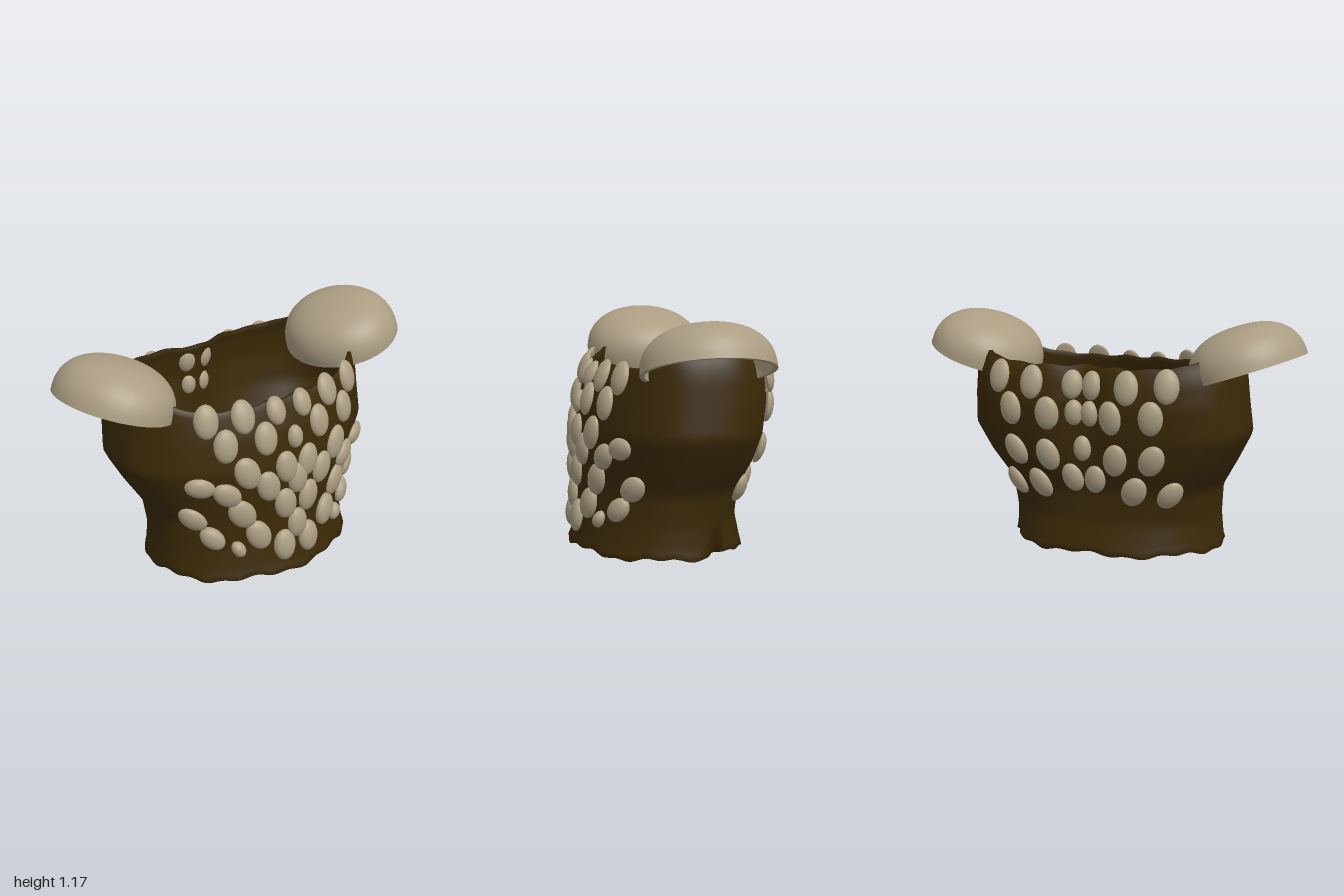
import * as THREE from 'three';

const leather = new THREE.MeshStandardMaterial({ color: 0x3b2907, side: THREE.DoubleSide });
leather.name = 'dark leather';
const bone = new THREE.MeshStandardMaterial({ color: 0xab9d82 });
bone.name = 'bone';

// Torso profile: height, half width, front z, back z, front squareness, back squareness
const PROFILE = [
  [0.00, 0.57, 0.50, -0.385, 2, 2.2], [0.06, 0.555, 0.475, -0.37, 2, 2.2], [0.18, 0.548, 0.455, -0.34, 1.9, 2.3],
  [0.33, 0.56, 0.45, -0.345, 1.85, 2.6], [0.48, 0.65, 0.45, -0.40, 1.85, 2.9], [0.62, 0.725, 0.445, -0.43, 1.9, 3],
  [0.78, 0.71, 0.415, -0.45, 2, 3], [0.90, 0.70, 0.365, -0.435, 2.2, 3], [0.97, 0.685, 0.32, -0.41, 2.5, 3],
  [1.06, 0.64, 0.26, -0.36, 2.8, 3],
];

function section(y) {
  let i = 0;
  while (i < PROFILE.length - 2 && y > PROFILE[i + 1][0]) i++;
  const a = PROFILE[i], b = PROFILE[i + 1];
  const t = THREE.MathUtils.clamp((y - a[0]) / (b[0] - a[0]), 0, 1);
  return [1, 2, 3, 4, 5].map(k => a[k] + (b[k] - a[k]) * t);
}

// Point on the torso; the upper back has a shallow groove along the spine
function surface(angle, y) {
  const [w, front, back, nFront, nBack] = section(y);
  const c = Math.cos(angle), isFront = Math.sin(angle) > 0;
  const n = isFront ? nFront : nBack;
  const depth = Math.max(0, 1 - Math.abs(c) ** n) ** (1 / n) * (isFront ? 1 : -1);
  const groove = isFront ? 0 : 0.06 * Math.exp(-((w * c / 0.12) ** 2)) * THREE.MathUtils.smoothstep(y, 0.3, 0.8);
  return new THREE.Vector3(w * c, y, (front + back) / 2 + (front - back) / 2 * depth + groove);
}

// Thin-walled torso with a dipped neckline and a ragged hem
function makeTorso() {
  const N = 160, M = 32, WALL = 0.018, rings = 2 * M + 2, pos = [], idx = [];
  for (let j = 0; j < rings; j++) {
    const inside = j > M;
    const v = (inside ? rings - 1 - j : j) / M;
    for (let i = 0; i < N; i++) {
      const a = i / N * Math.PI * 2;
      const side = Math.abs(Math.cos(a));
      const dip = Math.sin(a) > 0 ? 0.915 : 0.96;
      const top = dip + (1.05 - dip) * side ** 5 + 0.007 * Math.sin(23 * a) * (1 - side);
      const hem = 0.025 + 0.008 * Math.sin(7 * a) + 0.006 * Math.sin(19 * a + 1);
      const p = surface(a, hem + (top - hem) * v);
      // Crumpled fold at the hem on the left side
      const d = Math.atan2(Math.sin(a + 0.45), Math.cos(a + 0.45));
      const fold = Math.exp(-((d / 0.09) ** 2)) * Math.max(0, 1 - v / 0.15);
      p.x *= 1 - 0.2 * fold;
      if (inside) {
        p.x -= WALL * Math.cos(a);
        p.z -= WALL * Math.sin(a);
      }
      pos.push(p.x, p.y, p.z);
      const k = j * N + i, n = j * N + (i + 1) % N;
      const up = (j + 1) % rings * N - j * N;
      idx.push(k, k + up, n, n, k + up, n + up);
    }
  }
  const g = new THREE.BufferGeometry();
  g.setAttribute('position', new THREE.Float32BufferAttribute(pos, 3));
  g.setIndex(idx);
  g.computeVertexNormals();
  const mesh = new THREE.Mesh(g, leather);
  mesh.name = 'torsoShell';
  return mesh;
}

// Oval stud; the back half is scaled separately from the visible front half
function makeStudGeometry(backDepth) {
  const g = new THREE.SphereGeometry(1, 20, 14);
  const p = g.attributes.position;
  for (let i = 0; i < p.count; i++) if (p.getZ(i) < 0) p.setZ(i, p.getZ(i) * backDepth);
  g.computeVertexNormals();
  return g;
}
const studGeometry = makeStudGeometry(0.35);
const piercingGeometry = makeStudGeometry(1.3);

function makeStud(x, y, tilt, size, facing, piercing) {
  const angle = facing * Math.acos(THREE.MathUtils.clamp(x / section(y)[0], -1, 1));
  const p = surface(angle, y);
  const along = surface(angle - facing * 0.05, y).sub(surface(angle + facing * 0.05, y)).normalize();
  const up = surface(angle, y + 0.05).sub(surface(angle, y - 0.05)).normalize();
  const normal = along.clone().cross(up).normalize().multiplyScalar(facing);
  const right = up.clone().cross(normal).normalize();
  const stud = new THREE.Mesh(piercing ? piercingGeometry : studGeometry, bone);
  stud.name = facing > 0 ? 'frontStud' : 'backStud';
  stud.quaternion.setFromRotationMatrix(new THREE.Matrix4().makeBasis(right, up, normal));
  stud.rotateZ(-tilt * facing);
  stud.position.copy(p).addScaledVector(normal, 0.011);
  stud.scale.set(0.061 * size, 0.084 * size, 0.036);
  return stud;
}

// Studs: x, height, outward tilt, size, whether it pierces the wall; mirrored unless central
const FRONT = [
  [0.435, 0.89, 0, 1], [0.26, 0.885, 0, 1], [0.08, 0.875, 0, 0.85],
  [0.365, 0.765, 0, 1], [0.165, 0.765, 0, 1], [0, 0.735, 0, 0.7],
  [0.275, 0.615, 0.3, 1.05], [0.065, 0.6, 0.15, 1],
  [0.485, 0.565, 1.0, 0.9], [0.365, 0.51, 0.6, 0.95], [0.165, 0.52, 0.15, 1], [0, 0.52, 0, 0.95],
  [0.29, 0.39, 0.3, 1.05], [0.07, 0.4, 0.1, 1], [0, 0.27, 0, 0.95], [0.21, 0.255, 0.4, 1, true],
  [0.485, 0.37, 0.5, 0.95], [0.41, 0.255, 0.75, 0.85, true], [0.305, 0.19, 0.5, 0.55], [0.075, 0.165, 0, 0.98, true],
];
const BACK = [
  [0.44, 0.89, 0, 1], [0.25, 0.875, 0, 1], [0.055, 0.87, 0, 0.85, true],
  [0.37, 0.74, 0.1, 1], [0.17, 0.73, 0, 1], [0.045, 0.735, 0, 0.75, true],
  [0.36, 0.53, 0.2, 1], [0.18, 0.52, 0.1, 1], [0, 0.56, 0, 0.75],
  [0.41, 0.345, 0.4, 0.95], [0.25, 0.36, 0.25, 1], [0.06, 0.41, 0.15, 0.9],
];

function makeStuds(list, facing, name) {
  const group = new THREE.Group();
  group.name = name;
  for (const [x, y, tilt, size, piercing] of list)
    for (const s of x ? [1, -1] : [1]) group.add(makeStud(s * x, y, s * tilt, size, facing, piercing));
  return group;
}

// Hollow domed shoulder pad with full, rounded flanks
function makePad(side) {
  const outer = [], inner = [];
  for (let i = 0; i <= 18; i++) {
    const t = i / 18 * Math.PI / 2;
    const r = Math.max(0, Math.cos(t)) ** (2 / 2.4), h = Math.sin(t) ** (2 / 2.4);
    outer.push(new THREE.Vector2(r, 0.222 * h));
    inner.unshift(new THREE.Vector2(0.93 * r, 0.195 * h));
  }
  outer[18].x = inner[0].x = 0;
  const parts = { padLining: inner, padRim: [inner[18].clone(), outer[0].clone()], padDome: outer };
  const pad = new THREE.Group();
  for (const [name, points] of Object.entries(parts)) {
    const mesh = new THREE.Mesh(new THREE.LatheGeometry(points, 48), bone);
    mesh.name = name;
    pad.add(mesh);
  }
  pad.name = side > 0 ? 'leftShoulderPad' : 'rightShoulderPad';
  pad.scale.set(0.29, 1, 0.318);
  pad.position.set(side * 0.725, 0.938, -0.048);
  pad.rotation.z = side * 0.325;
  return pad;
}

export function createModel() {
  const model = new THREE.Group();
  model.name = 'studdedChestArmour';
  model.add(makeTorso(), makeStuds(FRONT, 1, 'frontStuds'), makeStuds(BACK, -1, 'backStuds'));
  for (const side of [1, -1]) model.add(makePad(side));
  return model;
}
